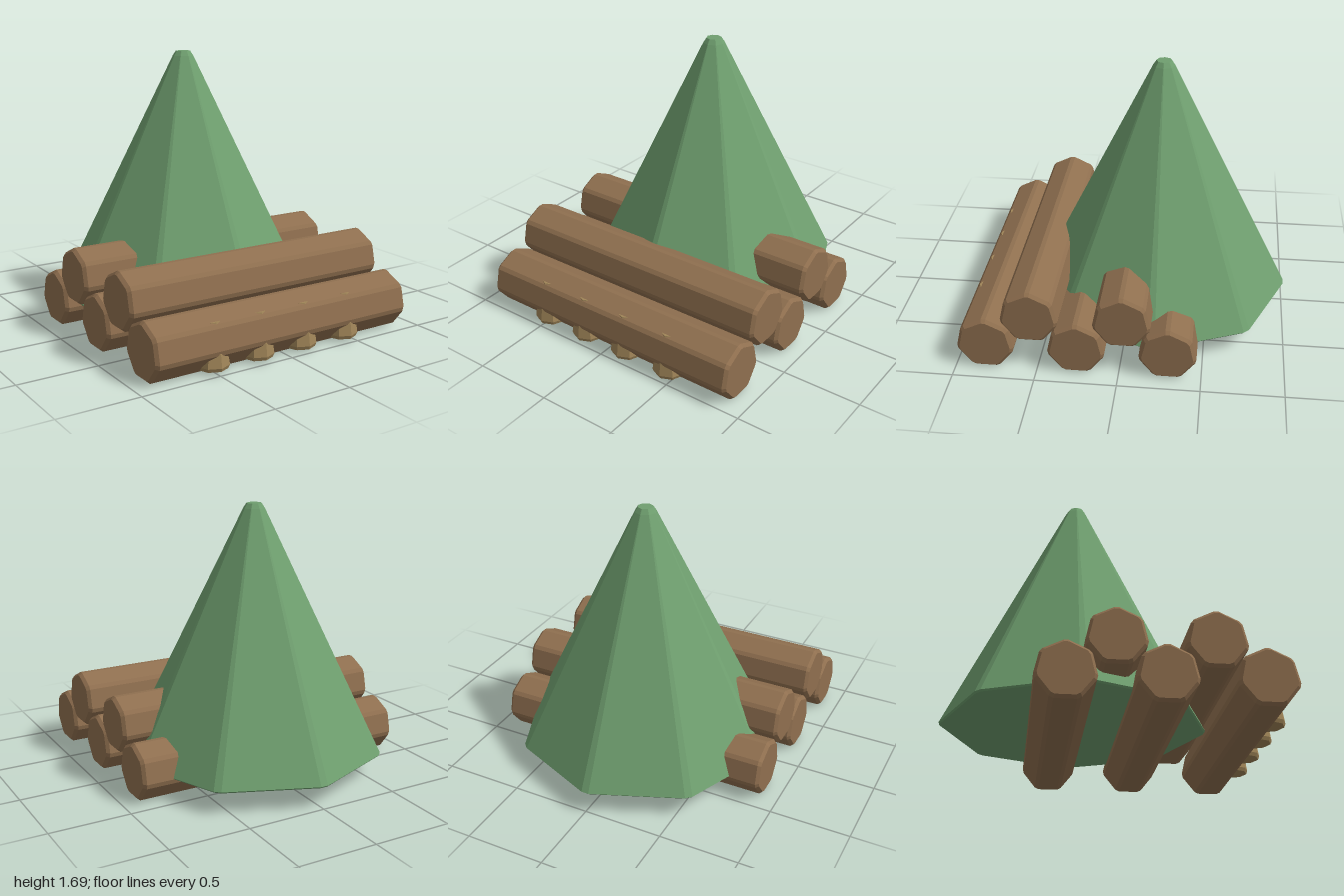
import * as THREE from 'three';

// Corner points of a unit polygon (first corner on +z) with every corner cut by fraction t of its sides
function chamferedPolygon(sides, t) {
  const corner = (i) => {
    const a = (i / sides) * Math.PI * 2;
    return new THREE.Vector2(Math.sin(a), Math.cos(a));
  };
  const points = [];
  for (let i = 0; i < sides; i++) {
    points.push(corner(i).lerp(corner(i - 1), t), corner(i).lerp(corner(i + 1), t));
  }
  return points;
}

// Stacks scaled copies of the polygon along y; rings are [radius, y], from bottom to top
function loft(polygon, rings) {
  const n = polygon.length;
  const positions = [];
  const index = [];
  for (const [r, y] of rings) {
    for (const p of polygon) positions.push(p.x * r, y, p.y * r);
  }
  for (let k = 0; k < rings.length - 1; k++) {
    for (let i = 0; i < n; i++) {
      const a = k * n + i;
      const b = k * n + ((i + 1) % n);
      if (rings[k][0] > 0) index.push(a, b, b + n);
      if (rings[k + 1][0] > 0) index.push(a, b + n, a + n);
      else if (rings[k][0] > 0) index.splice(-3, 3, a, b, b + n);
    }
  }
  const indexed = new THREE.BufferGeometry();
  indexed.setAttribute('position', new THREE.Float32BufferAttribute(positions, 3));
  indexed.setIndex(index);
  const geometry = indexed.toNonIndexed();
  geometry.computeVertexNormals();
  return geometry;
}

export function createModel() {
  const model = new THREE.Group();
  const flat = (color) => new THREE.MeshStandardMaterial({ color, flatShading: true });
  const leaf = flat(0x6f9f6f);
  const bark = flat(0x8f6f4f);
  const fungus = flat(0xa08558);

  function add(name, geometry, material, x, y, z) {
    const mesh = new THREE.Mesh(geometry, material);
    mesh.name = name;
    mesh.position.set(x, y, z);
    model.add(mesh);
  }

  // Eight-sided tree with a blunt tip and closed underside
  const tree = loft(chamferedPolygon(8, 0.04), [
    [0, 0.135], [0.815, 0.135], [0.825, 0.145], [0.068, 1.66], [0.048, 1.69], [0, 1.69],
  ]);
  add('tree', tree, leaf, 0, 0, -0.188);

  // Seven-sided logs lying along x, three below and two resting on top
  const log = loft(chamferedPolygon(7, 0.1), [
    [0, -0.9], [0.163, -0.9], [0.182, -0.88], [0.182, 0.88], [0.163, 0.9], [0, 0.9],
  ]);
  log.applyMatrix4(new THREE.Matrix4().makeBasis(
    new THREE.Vector3(0, 0, 1), new THREE.Vector3(1, 0, 0), new THREE.Vector3(0, 1, 0),
  ));
  for (const z of [0.815, 0.26, -0.295]) add('lowerLog', log, bark, 0, 0.164, z);
  for (const z of [0.538, -0.018]) add('upperLog', log, bark, 0, 0.374, z);

  // Mushrooms growing through the front log
  const profile = [
    [0, 0.02], [0.095, 0.02], [0.104, 0.042], [0.092, 0.12],
    [0.075, 0.18], [0.052, 0.27], [0.045, 0.293], [0, 0.293],
  ].map(([r, y]) => new THREE.Vector2(r, y));
  const mushroom = new THREE.LatheGeometry(profile, 8);
  for (const x of [-0.49, -0.18, 0.13, 0.45]) add('mushroom', mushroom, fungus, x, 0, 0.896);

  return model;
}
